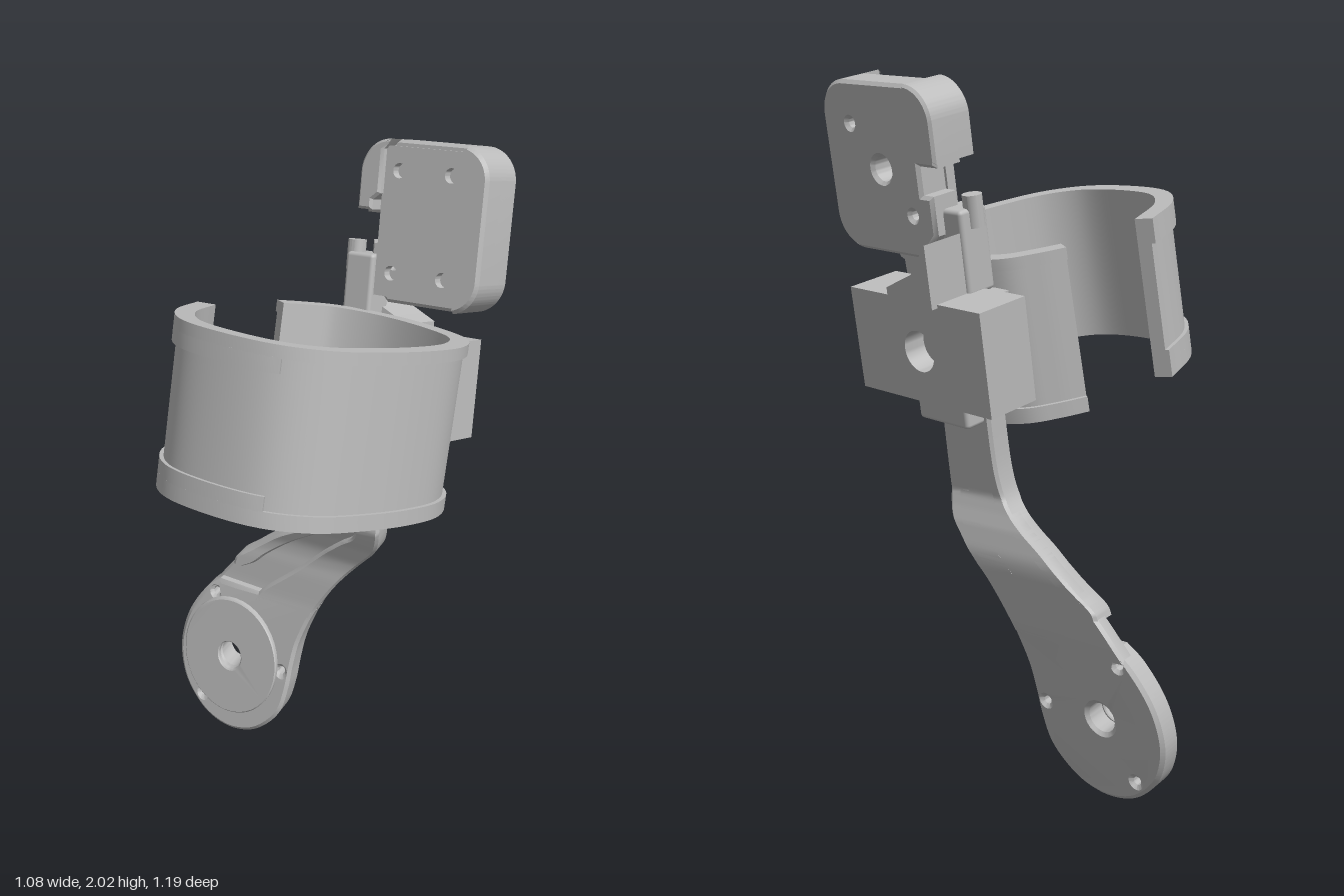
import * as THREE from 'three';
import { toCreasedNormals } from 'three/addons/utils/BufferGeometryUtils.js';
import { RoundedBoxGeometry } from 'three/addons/geometries/RoundedBoxGeometry.js';

const grey = new THREE.MeshStandardMaterial({ color: 0xbcbcbc });
grey.name = 'plain grey';

function add(parent, name, geo, pos = [0, 0, 0], smooth = true) {
  const mesh = new THREE.Mesh(smooth ? toCreasedNormals(geo, 0.6) : geo, grey);
  mesh.name = name;
  mesh.position.set(...pos);
  parent.add(mesh);
}

function frame(parent, name, pos, order) {
  const g = new THREE.Group();
  g.name = name;
  g.position.set(...pos);
  g.rotation.set(-0.2, -0.28, 0, order);
  parent.add(g);
  return g;
}

function hole(shape, x, y, r) {
  shape.holes.push(new THREE.Path().absarc(x, y, r, 0, Math.PI * 2, true));
}

function extrude(shape, depth, bevel = 0) {
  return new THREE.ExtrudeGeometry(shape, {
    depth: depth - 2 * bevel, curveSegments: 20, bevelEnabled: bevel > 0,
    bevelSize: bevel, bevelThickness: bevel, bevelOffset: -bevel, bevelSegments: 1,
  }).translate(0, 0, bevel);
}

function rect(w, h) {
  return new THREE.Shape([[-w, -h], [w, -h], [w, h], [-w, h]].map(p => new THREE.Vector2(p[0] / 2, p[1] / 2)));
}

// ---- open cuff: strips that follow one path at given offsets ----
const cuffPath = new THREE.CatmullRomCurve3([
  [-.161, .138], [-.118, .065], [-.059, -.004], [.107, -.041], [.317, .006], [.423, .071], [.482, .192],
  [.487, .339], [.458, .5], [.402, .645], [.303, .728], [.115, .748], [-.016, .716], [-.12, .615], [-.195, .438],
].map(([x, z]) => new THREE.Vector3(x, 0, z)), false, 'centripetal');

function strip(u0, u1, inner, outer, y0, y1) {
  const a = [], b = [], n = Math.max(6, Math.ceil((u1 - u0) * 90));
  for (let i = 0; i <= n; i++) {
    const u = u0 + (u1 - u0) * i / n;
    const p = cuffPath.getPoint(u), t = cuffPath.getTangent(u);
    const off = d => new THREE.Vector2(p.x + t.z * d, -(p.z - t.x * d));
    a.push(off(outer));
    b.unshift(off(inner));
  }
  return extrude(new THREE.Shape([...a, ...b]), y1 - y0).rotateX(-Math.PI / 2).translate(0, y0, 0);
}

// ---- lower arm: built flat, then bent by a rule in depth ----
const bend = [[0, -.153], [.5, -.2705], [.6, -.287], [.64, -.296], [.68, -.298], [.75, -.282], [.79, -.267], [.83, -.255], [.9, -.27], [1.25, -.333]];
function warp(geo) {
  const p = geo.attributes.position;
  for (let i = 0; i < p.count; i++) {
    const y = p.getY(i);
    let k = 0;
    while (k < bend.length - 2 && y > bend[k + 1][0]) k++;
    const [y0, z0] = bend[k], [y1, z1] = bend[k + 1];
    p.setZ(i, p.getZ(i) + z0 + (z1 - z0) * (y - y0) / (y1 - y0) + 0.27 * p.getX(i));
  }
  geo.computeVertexNormals();
  return geo;
}

// rows are [y, left x, right x]
function loft(rows, front, back, c) {
  const curve = new THREE.CatmullRomCurve3(rows.map(([y, l, r]) => new THREE.Vector3(l, y, r)), false, 'centripetal');
  const pts = curve.getPoints(44), pos = [], idx = [];
  for (const { x: l, y, z: r } of pts) {
    const ring = [[l + c, front], [r - c, front], [r, front - c], [r, back + c], [r - c, back], [l + c, back], [l, back + c], [l, front - c]];
    for (const [x, z] of ring) pos.push(x, y, z);
  }
  for (let i = 0; i < pts.length - 1; i++) for (let j = 0; j < 8; j++) {
    const a = i * 8 + j, b = i * 8 + (j + 1) % 8;
    idx.push(a, b, b + 8, a, b + 8, a + 8);
  }
  const top = (pts.length - 1) * 8;
  for (let j = 1; j < 7; j++) idx.push(0, j + 1, j, top, top + j, top + j + 1);
  const g = new THREE.BufferGeometry();
  g.setAttribute('position', new THREE.Float32BufferAttribute(pos, 3));
  g.setIndex(idx);
  return warp(g);
}

export function createModel() {
  const model = new THREE.Group();
  model.name = 'bracket with cuff';

  // cuff
  const cuff = frame(model, 'cuff', [0, 0, 0], 'YXZ');
  add(cuff, 'cuffBand', strip(0, 1, -.025, .018, 1.06, 1.545));
  const rims = [[0, 1, 1.51, 1.545], [0, 1, 1.06, 1.105], [.71, 1, 1.47, 1.512], [.71, 1, 1.103, 1.145], [.24, .3, 1.1, 1.512]];
  for (const [u0, u1, y0, y1] of rims) add(cuff, 'cuffRim', strip(u0, u1, 0, .03, y0, y1));

  // lower arm
  const arm = new THREE.Group();
  arm.name = 'lowerArm';
  model.add(arm);
  const base = new THREE.Shape();
  base.moveTo(-.4, .485);
  base.splineThru([[-.455, .44], [-.51, .36], [-.537, .28], [-.54, .2], [-.514, .12], [-.465, .06], [-.4, .017], [-.315, 0],
    [-.23, .017], [-.165, .06], [-.117, .12], [-.095, .2], [-.085, .28], [-.07, .36], [-.04, .44], [-.017, .485]]
    .map(p => new THREE.Vector2(...p)));
  base.closePath();
  hole(base, -.325, .255, .045);
  for (const [x, y] of [[-.41, .44], [-.125, .255], [-.43, .085]]) hole(base, x, y, .013);
  add(arm, 'armBase', warp(extrude(base, .1, .012).translate(0, 0, -.1)));
  const disc = new THREE.Shape().absarc(-.325, .255, .188, 0, Math.PI * 2);
  hole(disc, -.325, .255, .045);
  add(arm, 'baseDisc', warp(extrude(disc, .022, .004).translate(0, 0, -.002)));
  add(arm, 'armPlate', loft([[.45, -.44, -.06], [.52, -.385, -.03], [.57, -.34, .005], [.62, -.285, .05], [.7, -.175, .12],
    [.75, -.09, .165], [.79, -.03, .18], [.83, .005, .19], [.9, .022, .19], [1.05, .03, .19], [1.22, .03, .19]], -.035, -.1, .012));
  add(arm, 'armRaisedFace', loft([[.46, -.26, -.03], [.49, -.235, -.015], [.6, -.1, .06], [.7, .01, .15],
    [.75, .07, .195], [.79, .12, .213], [.83, .133, .22], [.9, .135, .22], [1.22, .14, .22]], 0, -.1, .01));
  add(arm, 'armRib', loft([[.555, -.35, -.31], [.58, -.34, -.265], [.62, -.285, -.22], [.7, -.175, -.11], [.75, -.09, -.03],
    [.79, -.03, .025], [.83, .005, .055], [.9, .022, .072], [1.05, .03, .078], [1.22, .03, .078]], 0, -.1, .01));

  // clamp block, origin at the middle of its back face
  const clamp = frame(model, 'clampBlock', [.195, 1.258, -.486], 'XYZ');
  const back = rect(.53, .3), front = rect(.53, .3);
  hole(back, 0, 0, .06);
  hole(front, 0, 0, .03);
  add(clamp, 'clampBack', extrude(back, .07));
  add(clamp, 'clampFront', extrude(front, .1), [0, 0, .07]);
  add(clamp, 'clampFoot', new RoundedBoxGeometry(.2, .08, .07, 2, .012), [-.04, -.175, .055], false);
  add(clamp, 'cuffMount', new THREE.BoxGeometry(.24, .28, .05), [-.04, 0, .185]);
  // wedge above the clamp, sloping across
  const wedge = new THREE.Shape([[-.1, .14], [.08, .14], [.08, .18], [-.03, .23], [-.1, .32]].map(p => new THREE.Vector2(...p)));
  add(clamp, 'hingeWedge', extrude(wedge, .16), [0, 0, -.02]);
  add(clamp, 'hingeLink', new RoundedBoxGeometry(.1, .24, .1, 2, .012), [-.06, .26, .16], false);
  add(clamp, 'hingeKnuckle', new THREE.CylinderGeometry(.028, .028, .09, 20), [-.1, .37, .17]);

  // head, origin at the middle of its back face
  const head = frame(model, 'head', [.32, 1.752, -.47], 'XYZ');
  const w = .225, h = .24, r = .1;
  const plate = new THREE.Shape();
  plate.moveTo(-w + r, -h);
  plate.lineTo(w - r, -h);
  plate.absarc(w - r, -h + r, r, -Math.PI / 2, 0);
  plate.absarc(w - r, h - r, r, 0, Math.PI / 2);
  plate.absarc(-w + r, h - r, r, Math.PI / 2, Math.PI);
  for (const [x, y] of [[-w, .02], [-w + .07, .02], [-w + .07, -.06], [-w + .03, -.06], [-w + .03, -h + .07]]) plate.lineTo(x, y);
  plate.closePath();
  hole(plate, 0, 0, .036);
  for (const s of [-1, 1]) hole(plate, s * .11, s * .12, .014);
  add(head, 'headBack', extrude(plate, .1, .01));

  // side wall wraps forward over the full height
  const wall = new THREE.Shape();
  wall.moveTo(w - r + .02, -h);
  wall.absarc(w - r, -h + r, r, -Math.PI / 2 + .2, 0);
  wall.absarc(w - r, h - r, r, 0, Math.PI / 2 - .2);
  wall.closePath();
  add(head, 'headSideWall', extrude(wall, .165, .01));

  // short hook on the other side
  const hook = new THREE.Shape();
  hook.moveTo(-w + r, h);
  hook.absarc(-w + r, h - r, r, Math.PI / 2, Math.PI);
  for (const [x, y] of [[-w, .03], [-w + .05, .03], [-w + .05, .06], [-w + .075, .08], [-w + .075, h - .03]]) hook.lineTo(x, y);
  hook.closePath();
  add(head, 'headHook', extrude(hook, .15, .008));

  // screw plate set into the front
  const cover = rect(.29, .44);
  for (const x of [-.09, .09]) for (const y of [-.15, .15]) hole(cover, x, y, .022);
  add(head, 'screwPlate', extrude(cover, .03), [-.01, 0, .098]);

  return model;
}
